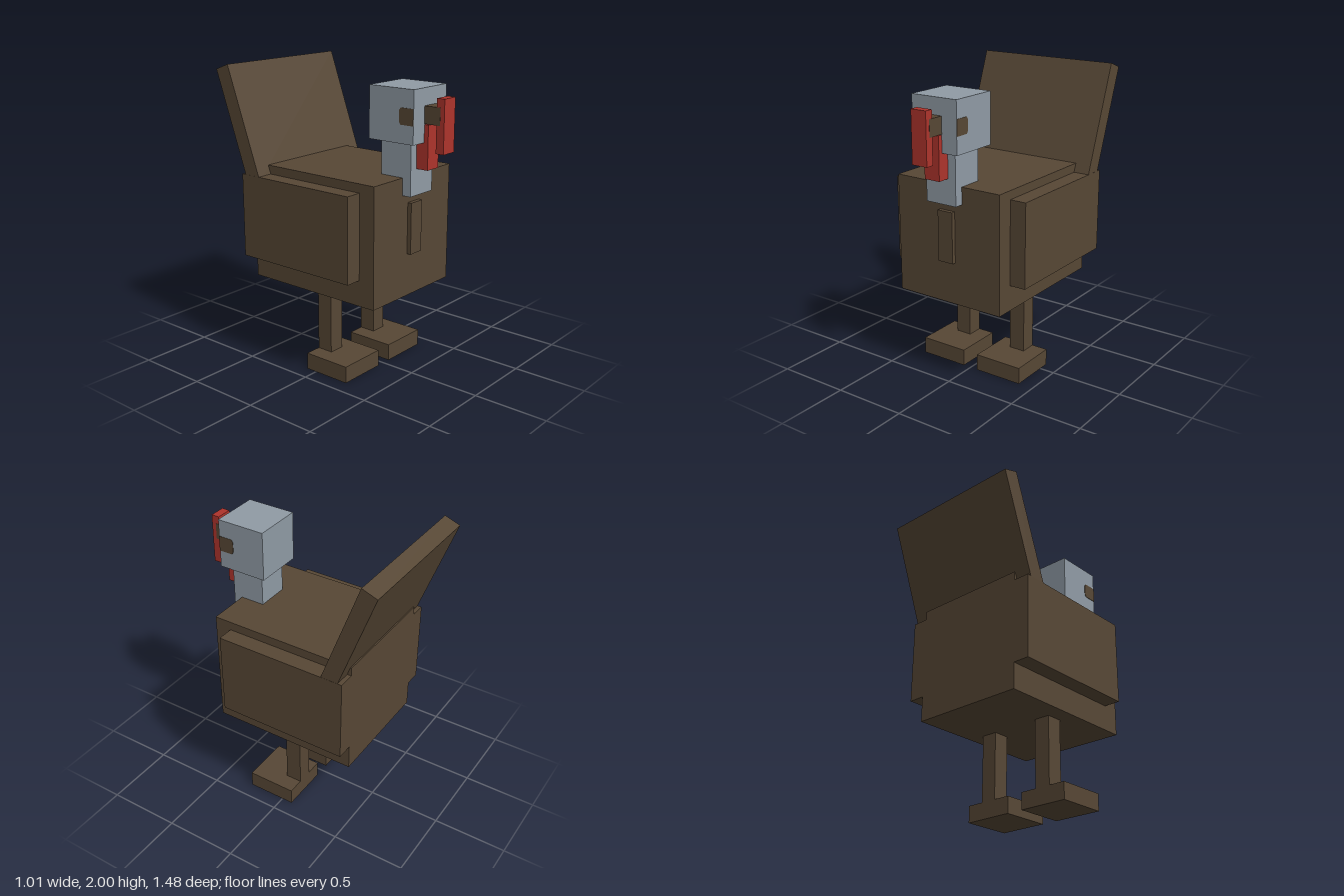
import * as THREE from 'three';

const material = (name, color) => {
  const m = new THREE.MeshStandardMaterial({ color });
  m.name = name;
  return m;
};

export function createModel() {
  const brown = material('brown feathers', 0x574735);
  const grey = material('blue grey skin', 0x909ba5);
  const red = material('red wattle', 0xae342c);
  const model = new THREE.Group();
  model.name = 'turkey';

  // Box given by its extents along each axis
  const box = (name, mat, [x0, x1], [y0, y1], [z0, z1]) => {
    const mesh = new THREE.Mesh(new THREE.BoxGeometry(x1 - x0, y1 - y0, z1 - z0), mat);
    mesh.position.set((x0 + x1) / 2, (y0 + y1) / 2, (z0 + z1) / 2);
    mesh.name = name;
    model.add(mesh);
    return mesh;
  };
  const centred = (name, mat, half, y, z) => box(name, mat, [-half, half], y, z);

  // Body and chest tuft
  centred('body', brown, 0.395, [0.565, 1.355], [-0.527, 0.485]);
  centred('chestTuft', brown, 0.056, [0.847, 1.186], [0.48, 0.513]);

  // Neck, head and face
  centred('neck', grey, 0.113, [1.242, 1.59], [0.317, 0.545]);
  centred('head', grey, 0.168, [1.582, 1.917], [0.262, 0.599]);
  centred('beak', brown, 0.057, [1.698, 1.808], [0.59, 0.713]);
  centred('snood', red, 0.056, [1.525, 1.862], [0.686, 0.742]);
  centred('wattle', red, 0.056, [1.412, 1.694], [0.54, 0.629]);

  // Tail fan, leaning back, its foot buried in the body
  const lean = THREE.MathUtils.degToRad(20);
  const tailLength = 0.78, tailThickness = 0.112;
  const tail = new THREE.Mesh(new THREE.BoxGeometry(1.01, tailLength, tailThickness), brown);
  tail.geometry.translate(0, -tailLength / 2, -tailThickness / 2);
  tail.position.set(0, 2, -0.634);
  tail.rotation.x = -lean;
  tail.name = 'tail';
  model.add(tail);

  // Eye outline: flush with the face in front, corners cut behind
  const eyeShape = new THREE.Shape([
    [0.599, 1.698], [0.599, 1.802], [0.505, 1.802],
    [0.492, 1.785], [0.492, 1.715], [0.505, 1.698],
  ].map(([z, y]) => new THREE.Vector2(-z, y)));
  const eyeGeometry = new THREE.ExtrudeGeometry(eyeShape, { depth: 0.006, bevelEnabled: false });
  eyeGeometry.translate(0, 0, -0.003);
  eyeGeometry.rotateY(Math.PI / 2);

  // Mirrored parts
  for (const [side, s] of [['left', 1], ['right', -1]]) {
    const span = (a, b) => (s > 0 ? [a, b] : [-b, -a]);
    box(`${side}Wing`, brown, span(0.39, 0.506), [0.736, 1.297], [-0.527, 0.372]);
    box(`${side}Leg`, brown, span(0.17, 0.281), [0.11, 0.57], [-0.076, 0.036]);
    box(`${side}Foot`, brown, span(0.056, 0.395), [0, 0.113], [-0.076, 0.261]);
    const eye = new THREE.Mesh(eyeGeometry, brown);
    eye.position.x = s * 0.168;
    eye.name = `${side}Eye`;
    model.add(eye);
  }
  return model;
}
